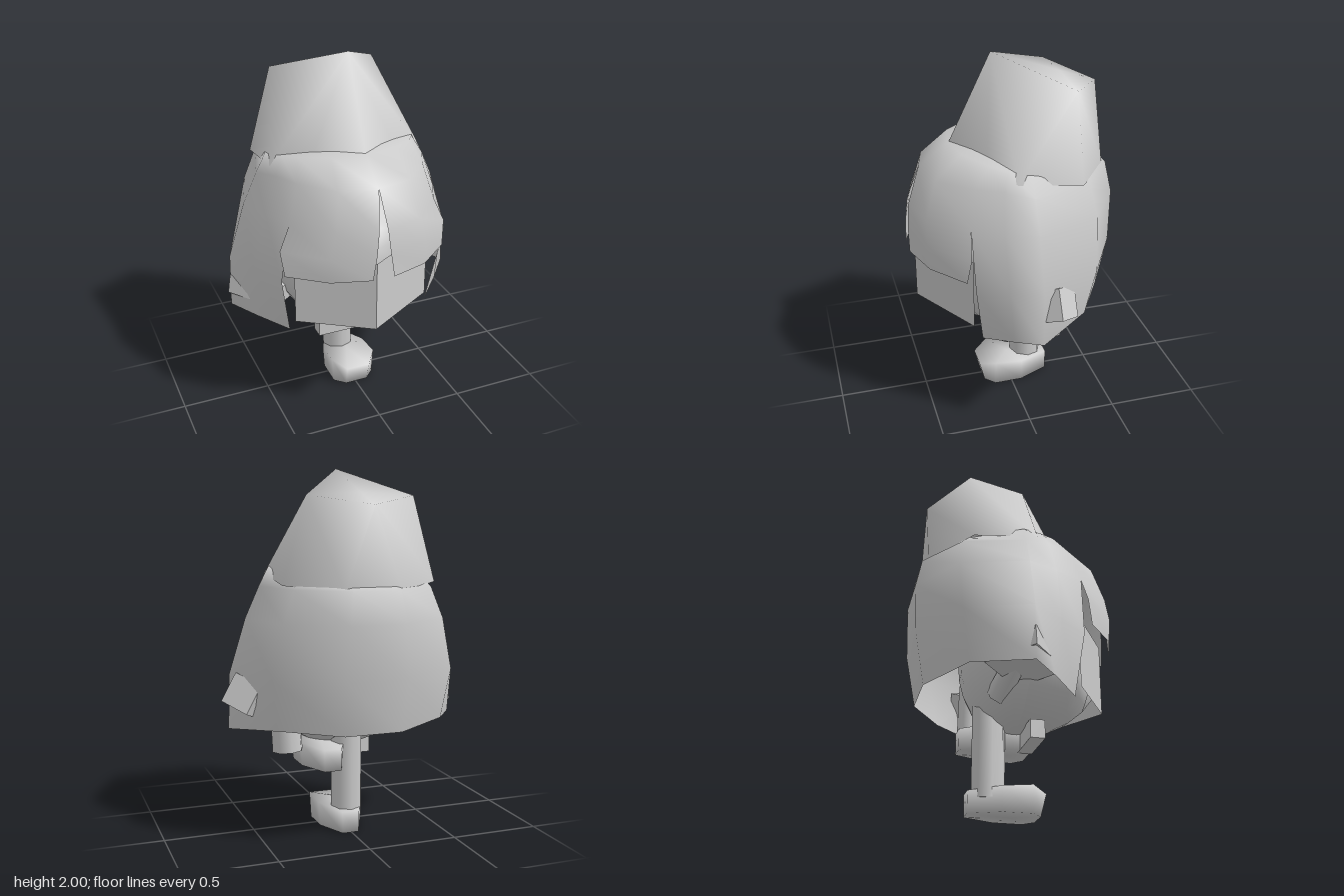
import * as THREE from 'three';
import { mergeVertices } from 'three/addons/utils/BufferGeometryUtils.js';

const MID = -0.02; // mirror plane of the head
const grey = new THREE.MeshStandardMaterial({ color: 0xcccccc, side: THREE.DoubleSide });
const lerp = THREE.MathUtils.lerp;

function part(name, geometry, x = 0, y = 0, z = 0) {
  const mesh = new THREE.Mesh(geometry, grey);
  mesh.name = name;
  mesh.position.set(x, y, z);
  return mesh;
}

// Skin a closed loop of columns (each listed top to bottom), leaving gaps
// after the given columns and closing the top with a fan around `centre`.
function skin(columns, centre, gaps = []) {
  const pos = [];
  const tri = (...points) => points.forEach((p) => pos.push(...p));
  columns.forEach((col, i) => {
    const next = columns[(i + 1) % columns.length];
    tri(centre, col[0], next[0]);
    if (gaps.includes(i)) return;
    for (let r = 0; r < col.length - 1; r++) {
      tri(col[r], col[r + 1], next[r + 1]);
      tri(col[r], next[r + 1], next[r]);
    }
  });
  const g = new THREE.BufferGeometry();
  g.setAttribute('position', new THREE.Float32BufferAttribute(pos, 3));
  const merged = mergeVertices(g, 1e-4);
  merged.computeVertexNormals();
  return merged;
}

const mirrorColumns = (columns, mid) =>
  columns.map((col) => col.map(([x, y, z]) => [2 * mid - x, y, z])).reverse();

// Hair column: outline (ox, oz), rim (bx, by, bz), split = opening at temple height
function hairColumn([ox, oz, bx, by, bz, split]) {
  const front = oz > 0;
  const at = (sx, sf, sb, y) => [MID + (ox - MID) * sx, y, oz * (front ? sf : sb)];
  const crown = at(0.66, 0.57, 0.87, 0);
  crown[1] = Math.min(1.53, 1.475 + crown[2] * 0.175);
  const shoulder = at(0.74, 0.86, 0.93, front ? 1.4 : 1.37);
  const temple = at(0.86, 0.98, 0.99, 1.2);
  temple[0] = lerp(temple[0], bx, split);
  const k = split ? 0.65 : 0.25;
  const cheek = [lerp(ox, bx, k), lerp(1.2, by, 0.5), lerp(oz, bz, k)];
  return [crown, shoulder, temple, cheek, [bx, by, bz]];
}

function hair() {
  const half = [
    [-0.02, 0.56, 0.04, 0.93, 0.56, 0.4], // parting in the fringe
    [0.25, 0.50, 0.25, 0.925, 0.49, 0],
    [0.46, 0.30, 0.44, 0.92, 0.33, 0], // slit between fringe and side lock
    [0.46, 0.30, 0.39, 0.53, 0.24, 0],
    [0.55, 0.14, 0.53, 0.57, 0.10, 0],
    [0.63, -0.03, 0.64, 0.60, -0.03, 0],
    [0.50, -0.38, 0.45, 0.635, -0.32, 0],
    [0.16, -0.57, 0.14, 0.62, -0.50, 0],
  ].map(hairColumn);
  const columns = [...half, ...mirrorColumns(half, MID)];
  const n = columns.length;
  return part('hair', skin(columns, [MID, 1.53, 0], [2, n - 4, n - 1]));
}

// Tall hat with a slanted top that rises to a point at the front
function hat() {
  const apex = [MID, 2, 0.08], corner = [0.28, 1.85, -0.3], back = [MID, 1.8, -0.5];
  const half = [
    [apex, [0.21, 1.49, 0.16]],
    [apex, [0.41, 1.43, 0.05]],
    [corner, [0.41, 1.43, 0.05]],
    [corner, [0.41, 1.39, -0.30]],
    [back, [0.14, 1.36, -0.50]],
  ];
  const columns = [[apex, [MID, 1.53, 0.31]], ...half, ...mirrorColumns(half, MID)];
  return part('hat', skin(columns, [MID, 1.865, -0.3]));
}

// Head: flattened to a wedge behind the face, shallow at the back
function head() {
  const g = new THREE.SphereGeometry(1, 20, 14).scale(0.43, 0.42, 0.5);
  const p = g.attributes.position;
  for (let i = 0; i < p.count; i++) {
    const z = p.getZ(i);
    p.setZ(i, z < 0 ? z * 0.6 : Math.min(z, 0.47 - 0.63 * Math.abs(p.getX(i))));
  }
  g.computeVertexNormals();
  return part('head', g, MID, 0.87, 0.02);
}

// Face plate folded around the front of the head
function face() {
  const path = [[-0.41, 0.28], [-0.04, 0.52], [0.37, 0.28]];
  const pos = [];
  for (let i = 0; i < path.length - 1; i++) {
    const [[ax, az], [bx, bz]] = [path[i], path[i + 1]];
    pos.push(ax, 0.6, az, bx, 0.6, bz, bx, 1.0, bz, ax, 0.6, az, bx, 1.0, bz, ax, 1.0, az);
  }
  const g = new THREE.BufferGeometry();
  g.setAttribute('position', new THREE.Float32BufferAttribute(pos, 3));
  g.computeVertexNormals();
  return part('face', g);
}

// Shoe: rounded plan, widest and highest over the instep, narrow heel
function shoe(name, x, y, z) {
  const half = [[0.07, 0.12, 0.185], [0.132, 0.15, 0.1], [0.13, 0.135, -0.06], [0.05, 0.12, -0.23]]
    .map(([px, py, pz]) => [[px, py, pz], [px * 0.93, 0, pz > 0.1 ? pz - 0.03 : pz], [0, 0, 0]]);
  return part(name, skin([...half, ...mirrorColumns(half, 0)], [0, 0.14, 0]), x, y, z);
}

function limb(name, from, to, rTop, rBottom) {
  const a = new THREE.Vector3(...from), b = new THREE.Vector3(...to);
  const dir = b.clone().sub(a);
  const mesh = part(name, new THREE.CylinderGeometry(rTop, rBottom, dir.length(), 8));
  mesh.position.copy(a).add(b).multiplyScalar(0.5);
  mesh.quaternion.setFromUnitVectors(new THREE.Vector3(0, 1, 0), dir.normalize());
  return mesh;
}

// Blocky hand, one corner turned outwards
function hand(name, [x, y, z], width, height, tilt) {
  const mesh = part(name, new THREE.BoxGeometry(width, height, width), x, y, z);
  mesh.rotation.set(0, Math.PI / 4, tilt, 'ZYX');
  return mesh;
}

export function createModel() {
  const model = new THREE.Group();
  model.name = 'figure';
  model.add(head(), face(), hair(), hat());

  // Standing leg, and the other shoe lifted beside it
  model.add(limb('standingLeg', [-0.01, 0.08, -0.115], [-0.01, 0.6, -0.115], 0.09, 0.09));
  model.add(shoe('standingShoe', 0.005, 0, 0));
  model.add(shoe('raisedShoe', 0.12, 0.37, -0.03));

  // Lower edge of the body under the chin
  model.add(part('body', new THREE.BoxGeometry(0.27, 0.1, 0.08), -0.085, 0.42, 0.1));

  // Arms and hands poking through the hair
  model.add(limb('leftArm', [0.34, 0.48, -0.14], [0.36, 0.85, -0.13], 0.08, 0.085));
  model.add(limb('rightArm', [-0.2, 0.6, -0.1], [-0.45, 0.71, -0.06], 0.06, 0.07));
  model.add(hand('leftHand', [0.55, 0.79, -0.11], 0.17, 0.17, 0.5));
  model.add(hand('rightHand', [-0.475, 0.7, -0.03], 0.3, 0.11, -0.15));
  return model;
}
